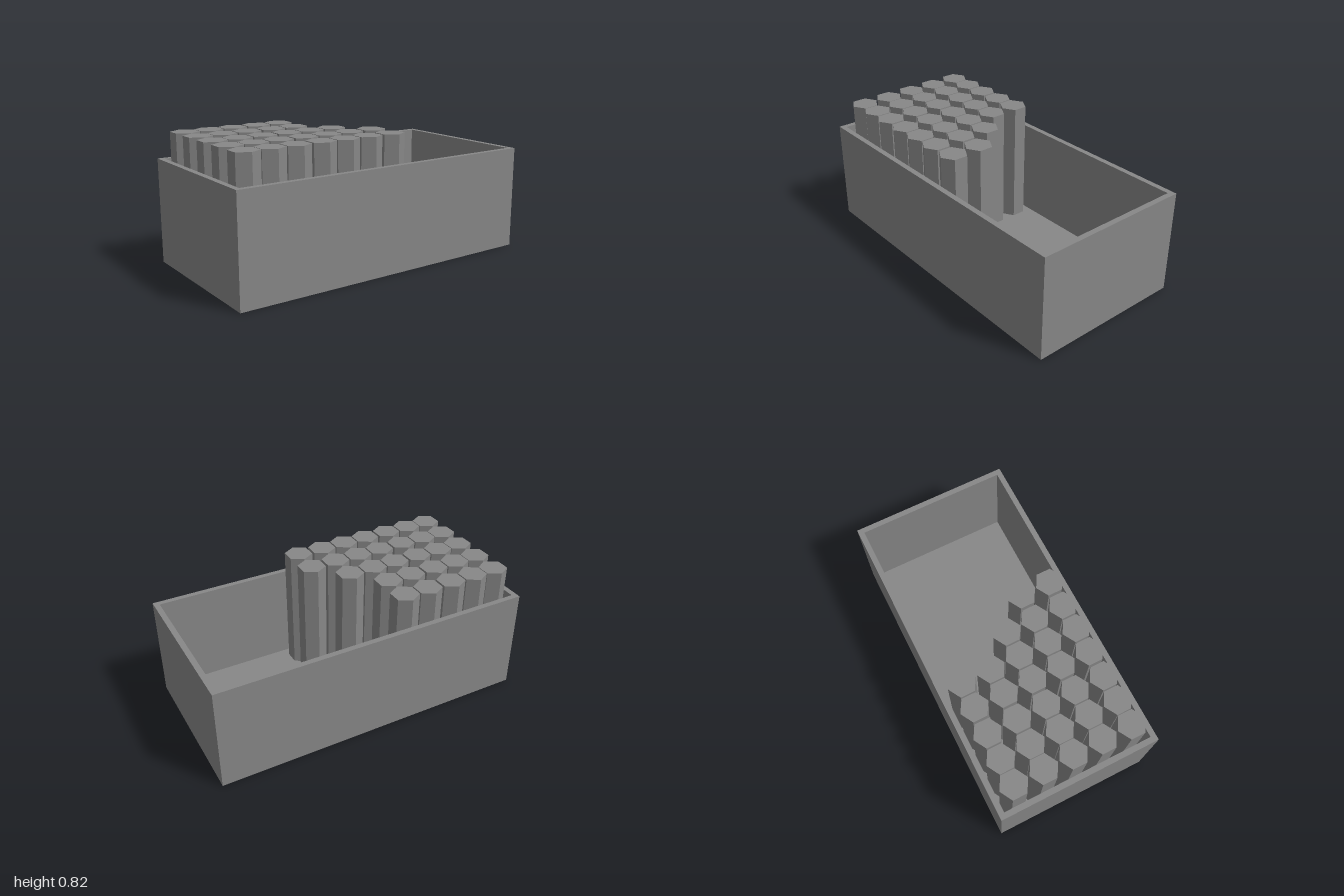
import * as THREE from 'three';

const material = new THREE.MeshStandardMaterial({ color: 0x878787, flatShading: true });

const LENGTH = 2, DEPTH = 1, HEIGHT = 0.648, WALL = 0.034;

// Adds a named mesh to a parent at the given position
function addPart(parent, name, geometry, x = 0, y = 0, z = 0) {
  const mesh = new THREE.Mesh(geometry, material);
  mesh.name = name;
  mesh.position.set(x, y, z);
  parent.add(mesh);
}

// Corner points of a rectangle centred on the origin
function rectangle(w, h) {
  return [[-1, -1], [1, -1], [1, 1], [-1, 1]].map(([x, y]) => new THREE.Vector2(x * w / 2, y * h / 2));
}

export function createModel() {
  const model = new THREE.Group();
  model.name = 'boxOfHexagonalColumns';

  // Open box: a rectangular ring of walls around a floor
  const box = new THREE.Group();
  box.name = 'box';
  model.add(box);

  const innerLength = LENGTH - 2 * WALL, innerDepth = DEPTH - 2 * WALL;
  const ring = new THREE.Shape(rectangle(LENGTH, DEPTH));
  ring.holes.push(new THREE.Path(rectangle(innerLength, innerDepth).reverse()));
  const walls = new THREE.ExtrudeGeometry(ring, { depth: HEIGHT, bevelEnabled: false });
  walls.rotateX(-Math.PI / 2);
  addPart(box, 'walls', walls);
  addPart(box, 'floor', new THREE.BoxGeometry(innerLength, WALL, innerDepth), 0, WALL / 2, 0);

  // Rows of hexagonal columns standing on the floor, back row first, slightly unevenly spaced
  const columns = new THREE.Group();
  columns.name = 'columns';
  model.add(columns);

  const top = 0.817, height = top - WALL;
  const column = new THREE.CylinderGeometry(0.0865, 0.0865, height, 6);
  const columnX = [-0.877, -0.723, -0.565, -0.402, -0.244, -0.085, 0.08];
  const rowCounts = [5, 5, 6, 7, 7];
  rowCounts.forEach((count, row) => {
    for (const x of columnX.slice(0, count)) {
      addPart(columns, 'column', column, x, WALL + height / 2, -0.364 + row * 0.1815);
    }
  });

  return model;
}
